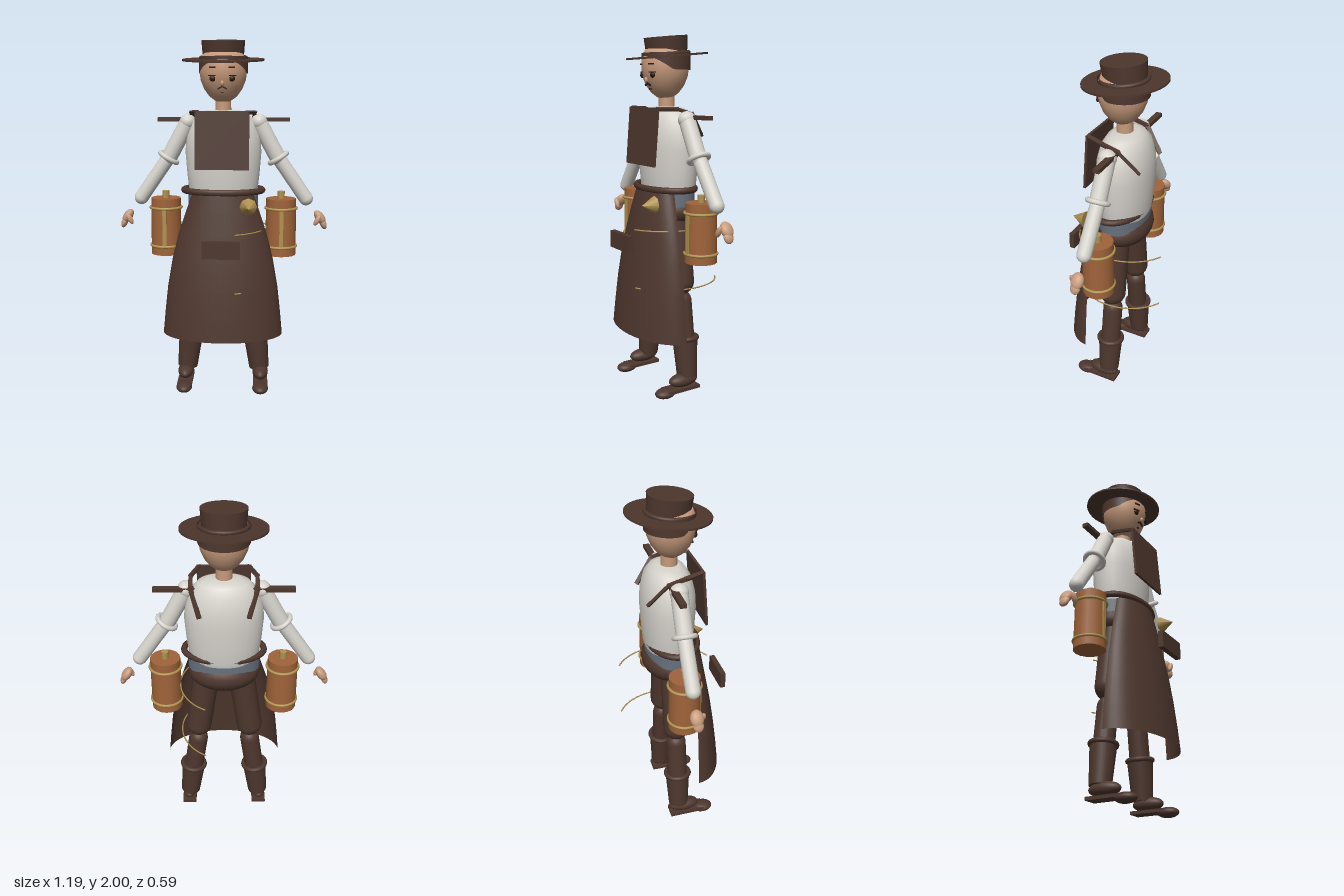
import * as THREE from 'three';

export function createModel() {
  const root = new THREE.Group();
  const mat = (name, color, side = THREE.FrontSide) => {
    const m = new THREE.MeshStandardMaterial({ color, side });
    m.name = name;
    return m;
  };
  const brown = mat('dark brown leather', 0x4e372e, THREE.DoubleSide);
  const shirt = mat('off-white linen', 0xd6d3cc, THREE.DoubleSide);
  const slate = mat('slate hem', 0x66707c, THREE.DoubleSide);
  const skin = mat('skin', 0xc69a7b);
  const wood = mat('barrel wood', 0xa0643a);
  const brass = mat('brass', 0xb0924f);
  const ink = mat('face dark', 0x2a1c18);

  const V = (x, y, z) => new THREE.Vector3(x, y, z);
  const UP = V(0, 1, 0);
  const add = (name, geo, material, pos = [0, 0, 0], parent = root) => {
    const m = new THREE.Mesh(geo, material);
    m.name = name;
    m.position.set(...pos);
    parent.add(m);
    return m;
  };
  const ball = (name, material, pos, radii, parent = root) => {
    const m = add(name, new THREE.SphereGeometry(1, 24, 16), material, pos, parent);
    m.scale.set(...radii);
    return m;
  };
  const box = (name, material, pos, size, parent = root) =>
    add(name, new THREE.BoxGeometry(...size), material, pos, parent);
  const aim = (m, dir) => m.quaternion.setFromUnitVectors(UP, dir.clone().normalize());
  // Rounded limb between two joints
  const limb = (name, material, a, b, r) => {
    const d = b.clone().sub(a);
    const m = add(name, new THREE.CapsuleGeometry(r, d.length(), 8, 20), material,
      a.clone().add(b).multiplyScalar(0.5).toArray());
    aim(m, d);
    return m;
  };
  // Ring whose axis follows a direction
  const ring = (name, material, pos, r, tube, dir = UP, parent = root) => {
    const m = add(name, new THREE.TorusGeometry(r, tube, 10, 32).rotateX(Math.PI / 2), material, pos, parent);
    aim(m, dir);
    return m;
  };
  const lathe = (pts) => new THREE.LatheGeometry(pts.map((p) => new THREE.Vector2(...p)), 32);

  // Head, neck and face
  add('head', lathe([[0, 1.655], [0.04, 1.66], [0.075, 1.685], [0.105, 1.725], [0.125, 1.775],
    [0.131, 1.82], [0.128, 1.87], [0.11, 1.92], [0, 1.94]]), skin);
  add('neck', new THREE.CylinderGeometry(0.043, 0.045, 0.12, 24), skin, [0, 1.645, -0.01]);
  for (const s of [-1, 1]) {
    ball('eye', ink, [s * 0.052, 1.782, 0.113], [0.017, 0.016, 0.012]);
    box('eyelid', ink, [s * 0.056, 1.797, 0.117], [0.04, 0.006, 0.009]).rotation.y = s * 0.45;
    box('eyebrow', ink, [s * 0.052, 1.84, 0.121], [0.034, 0.007, 0.009]).rotation.y = s * 0.4;
    const m = box('moustache', ink, [s * 0.013, 1.733, 0.111], [0.027, 0.008, 0.009]);
    m.rotation.z = -s * 0.5;
  }
  ball('nose', skin, [0, 1.757, 0.12], [0.01, 0.016, 0.012]);
  box('chin beard', ink, [0, 1.708, 0.094], [0.014, 0.007, 0.009]);

  // Hair band, lower at the back and rising to the forehead
  const hair = new THREE.CylinderGeometry(0.135, 0.135, 0.09, 40, 1, true);
  hair.translate(0, 1.855, -0.006);
  const hp = hair.attributes.position;
  for (let i = 0; i < hp.count; i++) {
    if (hp.getY(i) < 1.85) hp.setY(i, 1.81 + Math.max(0, hp.getZ(i) - 0.03) * 0.72);
  }
  add('hair', hair, brown);

  // Hat, tipped slightly forward
  const hat = new THREE.Group();
  hat.name = 'hat';
  hat.position.set(0, 1.885, -0.012);
  hat.rotation.x = 0.09;
  root.add(hat);
  add('hatBrim', new THREE.CylinderGeometry(0.226, 0.226, 0.01, 48), brown, [0, 0, 0], hat);
  add('hatCrown', new THREE.CylinderGeometry(0.12, 0.112, 0.104, 40), brown, [0, 0.052, 0], hat);
  ring('hatBand', brown, [0, 0.012, 0], 0.121, 0.011, UP, hat);

  // Torso with hem, belt and pelvis
  const torso = add('torso', lathe([[0.185, 1.13], [0.195, 1.16], [0.205, 1.25], [0.215, 1.38], [0.207, 1.47],
    [0.178, 1.55], [0.135, 1.595], [0.09, 1.61], [0, 1.615]]), shirt, [0, 0, -0.02]);
  torso.scale.z = 0.69;
  const hem = add('shirtHem', new THREE.CylinderGeometry(0.198, 0.2, 0.08, 32, 1, true), slate, [0, 1.11, -0.015]);
  hem.scale.z = 0.66;
  const belt = ring('belt', brown, [0, 1.165, 0], 0.222, 0.018);
  belt.scale.z = 0.64;
  ball('pelvis', brown, [0, 1.04, -0.02], [0.2, 0.11, 0.147]);

  // Apron skirt: half-ellipse rows widening downward
  const rows = [[1.155, 0.17, 0.145, 0.05], [1.05, 0.207, 0.165, 0.06], [0.92, 0.25, 0.188, 0.068],
    [0.78, 0.285, 0.214, 0.073], [0.62, 0.313, 0.238, 0.075], [0.47, 0.33, 0.257, 0.075], [0.345, 0.342, 0.27, 0.075]];
  const verts = [], faces = [], N = 28;
  rows.forEach(([y, w, front, back], r) => {
    for (let i = 0; i <= N; i++) {
      const a = Math.PI * (1 - i / N);
      verts.push(w * Math.cos(a), y, back + (front - back) * Math.sin(a));
      if (r && i) {
        const d = r * (N + 1) + i, u = d - N - 1;
        faces.push(u - 1, d - 1, d, u - 1, d, u);
      }
    }
  });
  const skirt = new THREE.BufferGeometry();
  skirt.setAttribute('position', new THREE.Float32BufferAttribute(verts, 3));
  skirt.setIndex(faces);
  skirt.computeVertexNormals();
  add('apronSkirt', skirt, brown);

  // Apron bib, pocket and straps
  box('apronBib', brown, [0, 1.452, 0.148], [0.294, 0.316, 0.014]).rotation.x = -0.08;
  box('apronPocket', brown, [0, 0.877, 0.285], [0.205, 0.095, 0.03]);
  for (const s of [-1, 1]) {
    const path = [V(s * 0.135, 1.603, 0.135), V(s * 0.175, 1.6, 0.03), V(s * 0.175, 1.575, -0.06), V(s * 0.13, 1.455, -0.155)];
    for (let i = 0; i < 3; i++) {
      const d = path[i + 1].clone().sub(path[i]);
      const strap = box('apronStrap', brown, path[i].clone().add(path[i + 1]).multiplyScalar(0.5).toArray(),
        [0.022, d.length() + 0.012, 0.016]);
      aim(strap, d);
    }
  }

  // Shoulder yoke
  box('yokeBar', brown, [0, 1.558, -0.04], [0.745, 0.022, 0.034]);

  // Arms, legs and barrels on both sides
  for (const s of [-1, 1]) {
    const shoulder = V(s * 0.2, 1.545, -0.012), elbow = V(s * 0.305, 1.35, -0.012), wrist = V(s * 0.47, 1.115, -0.015);
    ball('shoulder', shirt, shoulder.toArray(), [0.046, 0.046, 0.05]);
    limb('upperArm', shirt, V(s * 0.21, 1.525, -0.012), elbow, 0.046);
    limb('forearm', shirt, V(s * 0.325, 1.325, -0.015), wrist, 0.04);
    ring('sleeveCuff', shirt, [s * 0.31, 1.345, -0.013], 0.054, 0.014, wrist.clone().sub(shoulder));
    ball('palm', skin, [s * 0.552, 1.005, -0.018], [0.026, 0.046, 0.036]).rotation.z = s * 0.6;
    ball('fingers', skin, [s * 0.572, 0.97, -0.015], [0.018, 0.034, 0.028]).rotation.z = s * 0.35;
    ball('thumb', skin, [s * 0.535, 0.995, 0.02], [0.015, 0.034, 0.015]).rotation.z = -s * 0.5;

    limb('thigh', brown, V(s * 0.1, 0.99, -0.01), V(s * 0.15, 0.64, -0.01), 0.075);
    limb('shin', brown, V(s * 0.155, 0.53, -0.012), V(s * 0.188, 0.3, -0.012), 0.057);
    const top = V(s * 0.188, 0.325, -0.013), low = V(s * 0.213, 0.1, -0.013), axis = top.clone().sub(low);
    const boot = add('bootShaft', new THREE.CylinderGeometry(0.072, 0.058, axis.length(), 28), brown,
      top.clone().add(low).multiplyScalar(0.5).toArray());
    aim(boot, axis);
    ring('bootCuff', brown, [s * 0.189, 0.318, -0.013], 0.068, 0.014, axis);
    const foot = new THREE.Group();
    foot.name = 'foot';
    foot.position.set(s * 0.22, 0, 0);
    root.add(foot);
    ball('instep', brown, [0, 0.082, 0.018], [0.046, 0.038, 0.092], foot);
    ball('toe', brown, [0, 0.028, 0.138], [0.046, 0.028, 0.062], foot);
    box('sole', brown, [0, 0.037, 0.035], [0.085, 0.018, 0.21], foot);

    const barrel = new THREE.Group();
    barrel.name = 'barrel';
    barrel.position.set(s * 0.33, 0, -0.017);
    root.add(barrel);
    add('barrelBody', new THREE.CylinderGeometry(0.085, 0.088, 0.325, 16), wood, [0, 0.952, 0], barrel);
    for (const y of [0.84, 1.06]) ring('barrelHoop', brass, [0, y, 0], 0.088, 0.008, UP, barrel);
    add('barrelStopper', new THREE.CylinderGeometry(0.02, 0.02, 0.045, 16), brass, [0, 1.133, 0], barrel);
    box('barrelStrip', brass, [0, 0.95, 0.087], [0.022, 0.21, 0.009], barrel);
  }

  // Brass horn on the belt
  add('beltHorn', new THREE.ConeGeometry(0.048, 0.08, 8).rotateX(Math.PI / 2), brass, [0.145, 1.093, 0.2]);

  // Thin cord arcs around the left side
  for (const y of [0.95, 0.62]) {
    const pts = [];
    for (let i = 0; i <= 12; i++) {
      const a = THREE.MathUtils.degToRad(-63 + (133 * i) / 12);
      pts.push(V(-0.02 + 0.268 * Math.cos(a), y, -0.025 + (i < 6 ? 0.29 : 0.285) * Math.sin(a)));
    }
    add('cordArc', new THREE.TubeGeometry(new THREE.CatmullRomCurve3(pts), 40, 0.004, 6), brass);
  }
  return root;
}
